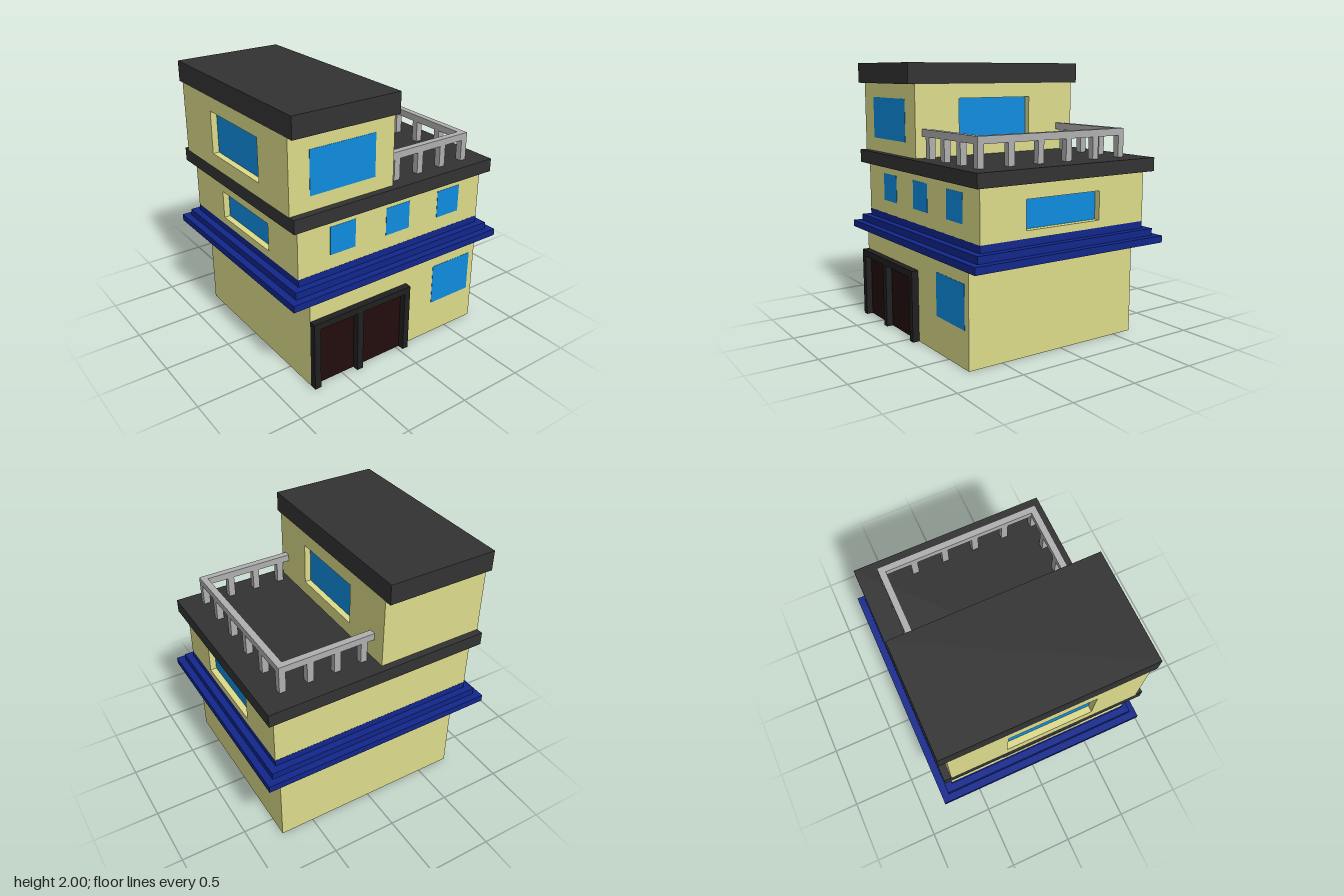
import * as THREE from 'three';

const material = (color) => new THREE.MeshStandardMaterial({ color });

export function createModel() {
  const group = new THREE.Group();
  const wall = material(0xdddc8b);
  const glass = material(0x0f8de0);
  const dark = material(0x333333);
  const frame = material(0x202020);
  const door = material(0x220c0c);
  const trim = material(0x12278c);
  const rail = material(0xb0b0b0);

  // Box given by its limits on each axis
  function block(name, mat, [x0, x1], [y0, y1], [z0, z1]) {
    const mesh = new THREE.Mesh(new THREE.BoxGeometry(x1 - x0, y1 - y0, z1 - z0), mat);
    mesh.position.set((x0 + x1) / 2, (y0 + y1) / 2, (z0 + z1) / 2);
    mesh.name = name;
    group.add(mesh);
  }

  // Storey whose two side walls each have a recessed window
  const RECESS = 0.05;
  function storey(name, [x0, x1], [y0, y1], [z0, z1], [w0, w1]) {
    const [a, b] = [-0.345, 0.29]; // window limits along -z
    block(name + 'Core', wall, [x0 + RECESS, x1 - RECESS], [y0, y1], [z0, z1]);
    const shape = new THREE.Shape();
    shape.moveTo(-z1, y0).lineTo(-z0, y0).lineTo(-z0, y1).lineTo(-z1, y1).closePath();
    const hole = new THREE.Path();
    hole.moveTo(a, w0).lineTo(a, w1).lineTo(b, w1).lineTo(b, w0).closePath();
    shape.holes.push(hole);
    const geometry = new THREE.ExtrudeGeometry(shape, { depth: RECESS, bevelEnabled: false });
    geometry.rotateY(Math.PI / 2);
    for (const [side, x] of [['Left', x1 - RECESS], ['Right', x0]]) {
      const mesh = new THREE.Mesh(geometry, wall);
      mesh.position.x = x;
      mesh.name = name + side + 'Wall';
      group.add(mesh);
    }
    block(name + 'LeftWindow', glass, [x1 - RECESS - 0.01, x1 - RECESS + 0.003], [w0, w1], [-b, -a]);
    block(name + 'RightWindow', glass, [x0 + RECESS - 0.003, x0 + RECESS + 0.01], [w0, w1], [-b, -a]);
  }

  // Pane set flush into a front wall
  function frontWindow(name, x, y, z) {
    block(name, glass, x, y, [z - 0.02, z + 0.002]);
  }

  // Ground floor
  block('groundFloor', wall, [-0.76, 0.76], [0, 0.69], [-0.66, 0.765]);
  frontWindow('groundWindow', [0.34, 0.71], [0.265, 0.58], 0.765);

  // Double door and its frame
  for (const x of [[-0.71, -0.395], [-0.345, 0.03]])
    block('doorPanel', door, x, [0, 0.48], [0.75, 0.768]);
  for (const x of [[-0.76, -0.71], [-0.395, -0.345], [0.03, 0.078]])
    block('doorPost', frame, x, [0, 0.48], [0.765, 0.817]);
  block('doorLintel', frame, [-0.76, 0.078], [0.48, 0.53], [0.765, 0.817]);

  // Stepped cornice
  for (let i = 0; i < 3; i++) {
    const x = 0.918 - i * 0.053, z = 0.817 - i * 0.053;
    block('corniceStep', trim, [-x, x], [0.69 + i * 0.052, 0.742 + i * 0.052], [-z, z]);
  }

  // Middle floor
  storey('middleFloor', [-0.812, 0.812], [0.846, 1.22], [-0.71, 0.71], [0.9, 1.11]);
  for (const x of [-0.555, -0.08, 0.395])
    frontWindow('middleFrontWindow', [x, x + 0.21], [0.95, 1.16], 0.71);
  block('terraceSlab', dark, [-0.867, 0.867], [1.22, 1.32], [-0.763, 0.763]);

  // Upper floor and roof
  storey('upperFloor', [-0.867, -0.03], [1.32, 1.848], [-0.71, 0.71], [1.425, 1.742]);
  frontWindow('upperFrontWindow', [-0.71, -0.187], [1.425, 1.74], 0.71);
  block('roof', dark, [-0.867, -0.03], [1.848, 2], [-0.763, 0.763]);

  // Terrace railing: three rails and their posts
  const railY = [1.478, 1.53], postY = [1.32, 1.478];
  const ends = [[-0.607, -0.557], [0.607, 0.657]];
  for (const z of ends) {
    block('endRail', rail, [-0.03, 0.705], railY, z);
    for (let i = 0; i < 4; i++) {
      const x = 0.025 + i * 0.21;
      block('endPost', rail, [x, x + 0.05], postY, z);
    }
  }
  block('sideRail', rail, [0.655, 0.705], railY, [-0.557, 0.607]);
  for (let i = 1; i < 5; i++) {
    const z = -0.607 + i * 0.2428;
    block('sidePost', rail, [0.655, 0.705], postY, [z, z + 0.05]);
  }
  return group;
}
